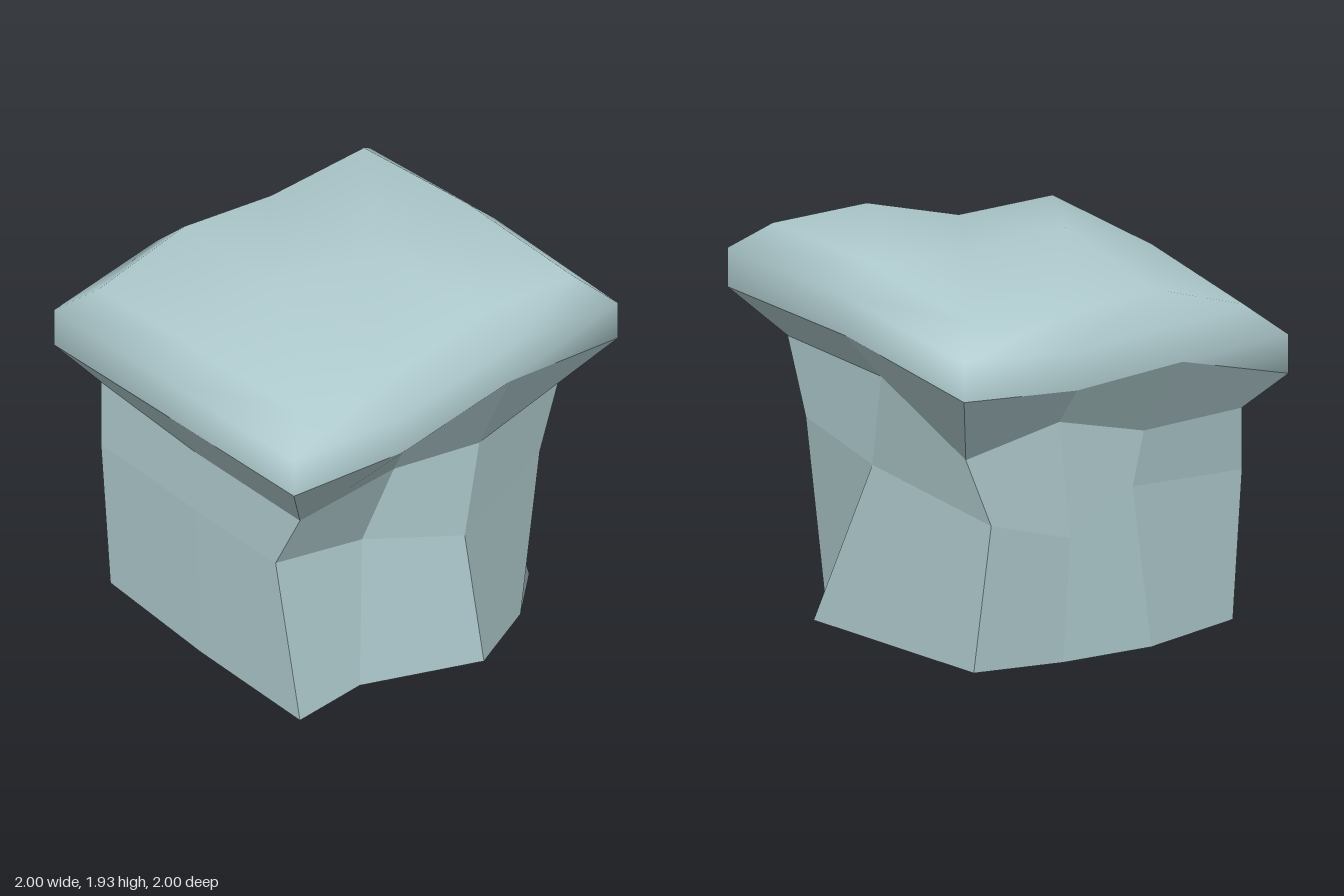
import * as THREE from 'three';

// Cross-sections run around the block: front (-x to +x), +x side, back, -x side.
const base = [
  [-0.84, 0, 0.84], [-0.41, 0, 0.76], [0.21, 0, 0.95], [0.62, 0, 0.71], [0.88, 0, 0.44],
  [0.75, 0, -0.73], [0.29, 0, -0.84], [-0.21, 0, -0.88], [-0.8, 0, -0.74], [-0.84, 0, 0.04],
];
const waist = [
  [-0.86, 0.83, 0.67], [-0.35, 0.79, 0.7], [0.13, 0.73, 0.9], [0.7, 0.93, 0.76], [0.84, 0.9, 0],
  [0.73, 0.78, -0.85], [0.27, 0.64, -0.87], [-0.14, 0.82, -0.82], [-0.82, 0.78, -0.79], [-0.84, 0.8, 0],
];
const neck = [
  [-0.84, 1.15, 0.84], [-0.23, 1.2, 0.8], [0.22, 1.23, 0.9], [0.76, 1.34, 0.83], [0.78, 1.34, 0.01],
  [0.89, 1.15, -0.86], [0.3, 1.23, -0.82], [-0.18, 1.11, -0.86], [-0.79, 1.11, -0.83], [-0.84, 1.13, 0],
];
const rim = [
  [-1, 1.43, 1], [-0.33, 1.43, 1], [0.33, 1.59, 1], [1, 1.59, 1], [1, 1.59, 0],
  [1, 1.5, -1], [0.32, 1.44, -1], [-0.32, 1.47, -0.99], [-0.95, 1.3, -1], [-1, 1.39, 0],
];
const COUNT = rim.length;

// Flat-shaded walls: each quad gets one normal of its own
function wallGeometry(rings) {
  const positions = [], normals = [];
  for (let r = 0; r < rings.length - 1; r++) {
    for (let i = 0; i < COUNT; i++) {
      const j = (i + 1) % COUNT;
      const [a, b, c, d] = [rings[r][i], rings[r][j], rings[r + 1][j], rings[r + 1][i]]
        .map((p) => new THREE.Vector3(...p));
      const n = c.clone().sub(a).cross(d.clone().sub(b)).normalize();
      for (const p of [a, b, c, a, c, d]) {
        positions.push(p.x, p.y, p.z);
        normals.push(n.x, n.y, n.z);
      }
    }
  }
  const g = new THREE.BufferGeometry();
  g.setAttribute('position', new THREE.Float32BufferAttribute(positions, 3));
  g.setAttribute('normal', new THREE.Float32BufferAttribute(normals, 3));
  return g;
}

// Smooth cap: upright edge band, bevel, and an uneven top
function capGeometry() {
  const upper = rim.map(([x, y, z]) => [x, y + 0.2, z]);
  const inner = rim.map(([x, y, z]) => [x * 0.84, y + 0.34, z * 0.84]);
  const hump = [[-0.32, 1.91, 0], [0.28, 1.88, 0]];
  const points = [...rim, ...upper, ...inner, ...hump];
  const index = [];
  const quad = (a, b, c, d) => index.push(a, b, c, a, c, d);

  for (let r = 0; r < 2; r++) {
    for (let i = 0; i < COUNT; i++) {
      const j = (i + 1) % COUNT;
      quad(r * COUNT + i, r * COUNT + j, (r + 1) * COUNT + j, (r + 1) * COUNT + i);
    }
  }
  // Top grid, front row to back row
  const k = 2 * COUNT;
  const rows = [
    [k, k + 1, k + 2, k + 3],
    [k + 9, k + 10, k + 11, k + 4],
    [k + 8, k + 7, k + 6, k + 5],
  ];
  for (let r = 0; r < 2; r++) {
    for (let i = 0; i < 3; i++) {
      quad(rows[r][i], rows[r][i + 1], rows[r + 1][i + 1], rows[r + 1][i]);
    }
  }
  const g = new THREE.BufferGeometry();
  g.setAttribute('position', new THREE.Float32BufferAttribute(points.flat(), 3));
  g.setIndex(index);
  g.computeVertexNormals();
  return g;
}

export function createModel() {
  const model = new THREE.Group();
  model.name = 'cliffBlock';
  const stone = new THREE.MeshStandardMaterial({ color: 0xb0cccf, side: THREE.DoubleSide });
  stone.name = 'paleBlueStone';

  // Rock sides, open underneath
  const walls = new THREE.Mesh(wallGeometry([base, waist, neck, rim]), stone);
  walls.name = 'rockWalls';

  // Overhanging top
  const cap = new THREE.Mesh(capGeometry(), stone);
  cap.name = 'overhangingCap';

  model.add(walls, cap);
  return model;
}
